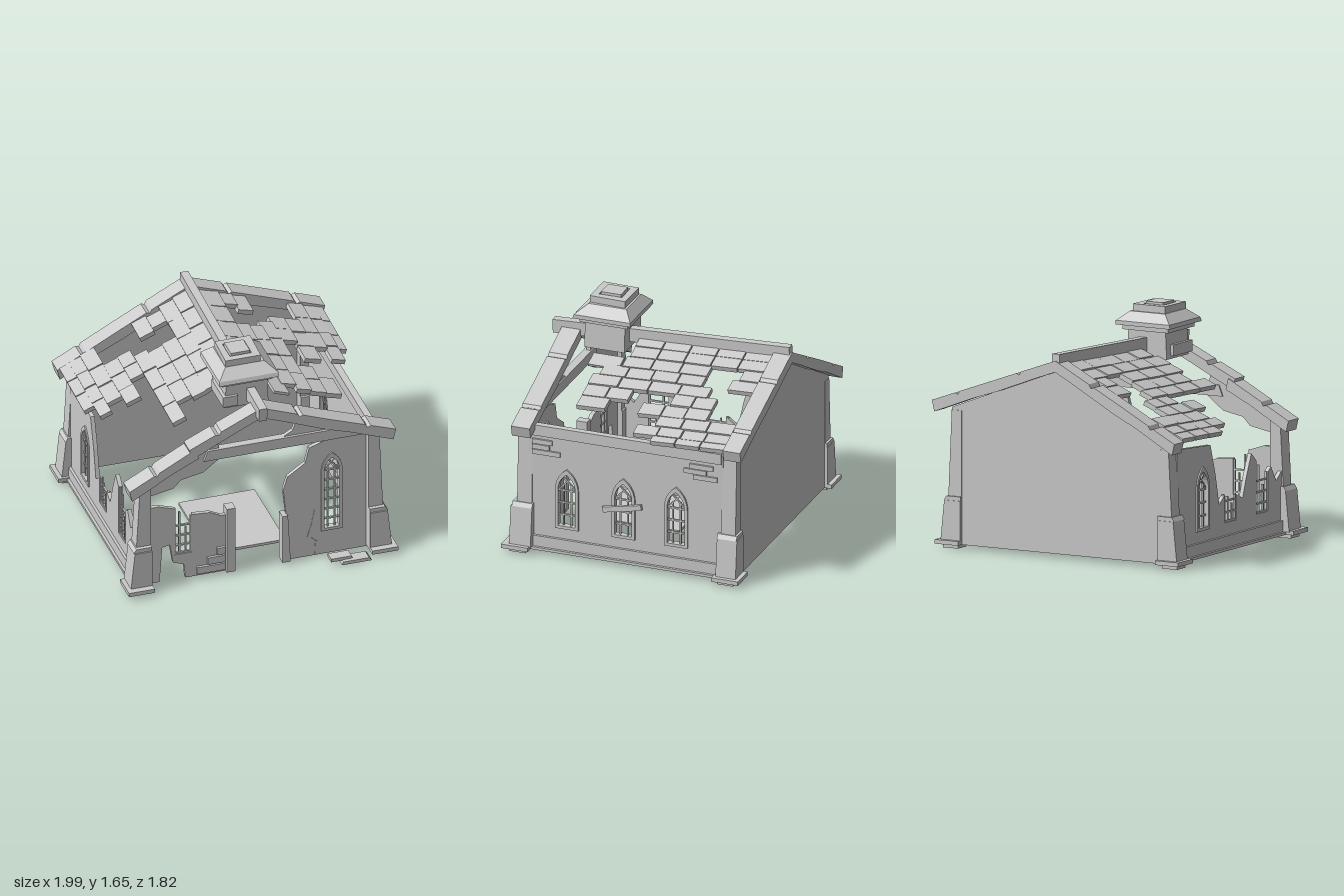
import * as THREE from 'three';

const mat = new THREE.MeshStandardMaterial({ color: 0xcccccc, flatShading: true, side: THREE.DoubleSide });

// Small seeded generator for hand-laid unevenness
let seed = 7;
const rnd = () => ((seed = (seed * 16807) % 2147483647) / 2147483647) - 0.5;

function add(parent, name, geo) {
  const m = new THREE.Mesh(geo, mat);
  m.name = name;
  parent.add(m);
  return m;
}

// Box given by its limits; top corners may be moved by [x0, x1, z0, z1]
function block(parent, name, [x0, x1], [y0, y1], [z0, z1], top = [0, 0, 0, 0]) {
  const cx = (x0 + x1) / 2, cy = (y0 + y1) / 2, cz = (z0 + z1) / 2;
  const g = new THREE.BoxGeometry(x1 - x0, y1 - y0, z1 - z0);
  const p = g.attributes.position;
  for (let i = 0; i < p.count; i++) {
    if (p.getY(i) < 0) continue;
    p.setX(i, p.getX(i) + (p.getX(i) < 0 ? top[0] : top[1]));
    p.setZ(i, p.getZ(i) + (p.getZ(i) < 0 ? top[2] : top[3]));
  }
  g.computeVertexNormals();
  const m = add(parent, name, g);
  m.position.set(cx, cy, cz);
  return m;
}

const outline = (pts) => new THREE.Shape(pts.map(([x, y]) => new THREE.Vector2(x, y)));

// Flat slab cut from an outline, from z to z + depth
function slab(parent, name, shape, z, depth) {
  const m = add(parent, name, new THREE.ExtrudeGeometry(shape, { depth, bevelEnabled: false, curveSegments: 5 }));
  m.position.z = z;
  return m;
}

// Pointed arch standing on (cx, y)
function arch(cx, y, w, h, Kind = THREE.Shape) {
  const s = new Kind(), r = w / 2, spring = y + h - w * 0.95;
  s.moveTo(cx - r, y);
  s.lineTo(cx + r, y);
  s.lineTo(cx + r, spring);
  s.quadraticCurveTo(cx + r, spring + w * 0.6, cx, y + h);
  s.quadraticCurveTo(cx - r, spring + w * 0.6, cx - r, spring);
  s.closePath();
  return s;
}

function bar(parent, a, b, t, z) {
  const len = Math.hypot(b[0] - a[0], b[1] - a[1]);
  const m = add(parent, 'windowBar', new THREE.BoxGeometry(len, t, 0.015));
  m.position.set((a[0] + b[0]) / 2, (a[1] + b[1]) / 2, z);
  m.rotation.z = Math.atan2(b[1] - a[1], b[0] - a[0]);
}

// Arched window with frame and lattice
function archWindow(parent, cx, y, w, h, z) {
  const g = new THREE.Group();
  g.name = 'archedWindow';
  const frame = arch(cx, y - 0.01, w + 0.015, h + 0.025);
  frame.holes.push(arch(cx, y + 0.012, w - 0.03, h - 0.035, THREE.Path));
  slab(g, 'windowFrame', frame, z - 0.025, 0.05);
  const spring = y + h - w * 0.95, q = w * 0.18, r = w / 2 - 0.01;
  for (const s of [-1, 1]) {
    bar(g, [cx + s * q, y], [cx + s * q, spring + w * 0.3], 0.01, z);
    bar(g, [cx + s * r, spring], [cx - s * q, spring + w * 0.62], 0.01, z);
  }
  const n = Math.round((spring - y) / 0.085);
  for (let i = 1; i <= n; i++) {
    const yy = y + ((spring - y) * i) / n;
    bar(g, [cx - r, yy], [cx + r, yy], 0.012, z);
  }
  parent.add(g);
}

// Broken window: jambs of unequal height, sill and leftover bars
function brokenWindow(parent, cx, y, w, hl, hr, z) {
  const g = new THREE.Group();
  g.name = 'brokenWindow';
  bar(g, [cx - w / 2, y], [cx - w / 2, y + hl], 0.022, z);
  bar(g, [cx + w / 2, y], [cx + w / 2, y + hr], 0.022, z);
  bar(g, [cx - w / 2, y], [cx + w / 2, y], 0.025, z);
  bar(g, [cx - w * 0.18, y], [cx - w * 0.18, y + hl * 0.9], 0.012, z);
  bar(g, [cx + w * 0.18, y], [cx + w * 0.18, y + hr * 0.7], 0.012, z);
  for (let yy = 0.07; yy < Math.min(hl, hr); yy += 0.08) bar(g, [cx - w / 2, y + yy], [cx + w / 2, y + yy], 0.012, z);
  parent.add(g);
}

// Gable beam following top points, with small chips along the edges
function rafter(parent, name, pts, h, z, depth) {
  const top = [], bottom = [];
  pts.forEach(([x, y], i) => {
    top.push([x, y]);
    bottom.unshift([x - Math.sign(x) * 0.02, y - h]);
    if (i === pts.length - 1) return;
    const [x2, y2] = pts[i + 1];
    const at = (t, d) => [x + (x2 - x) * t, y + (y2 - y) * t - d];
    top.push(at(0.55, 0), at(0.58, 0.02), at(0.63, 0));
    bottom.unshift(at(0.3, h), at(0.34, h - 0.015), at(0.38, h));
  });
  return slab(parent, name, outline([...top, ...bottom]), z, depth);
}

// Tile columns: [inner x, outer x, runs of [back z, front z]]
const tilesRight = [
  [0.02, 0.1, [[-0.78, 0.23]]], [0.1, 0.2, [[-0.78, 0.23]]],
  [0.2, 0.3, [[-0.78, -0.63], [-0.39, 0.25]]], [0.3, 0.4, [[-0.78, -0.58], [-0.39, 0.38]]],
  [0.4, 0.5, [[-0.47, 0.43]]], [0.5, 0.61, [[-0.55, -0.23], [0.08, 0.43]]],
  [0.61, 0.72, [[-0.55, -0.03], [0.21, 0.43]]], [0.72, 0.82, [[-0.78, -0.2]]],
  [0.82, 0.91, [[-0.78, -0.07]]], [0.91, 0.97, [[-0.78, -0.22]]],
];
const tilesLeft = [
  [0.02, 0.12, [[-0.78, 0.23]]], [0.12, 0.22, [[-0.78, 0.3]]],
  [0.22, 0.32, [[-0.75, -0.6], [-0.4, 0.3]]], [0.32, 0.42, [[-0.78, -0.58], [-0.4, 0.25]]],
  [0.42, 0.51, [[-0.45, 0.43]]], [0.51, 0.6, [[-0.55, -0.24]]],
  [0.6, 0.7, [[-0.55, -0.03]]], [0.7, 0.8, [[-0.78, -0.15]]],
  [0.8, 0.88, [[-0.78, -0.07]]], [0.88, 0.95, [[-0.78, -0.22]]],
];
function roofTiles(parent, name, columns, side, slope) {
  const g = new THREE.Group();
  g.name = name;
  for (const [a, b, runs] of columns) for (const [z0, z1] of runs) {
    const n = Math.max(1, Math.round((z1 - z0) / 0.2)), len = (z1 - z0) / n;
    for (let i = 0; i < n; i++) {
      const x = (a + b) / 2, z = z0 + len * (i + 0.5);
      const t = add(g, 'roofTile', new THREE.BoxGeometry((b - a) * 1.14, 0.035, len - 0.008));
      t.position.set(side * x, 1.345 - slope * x - 0.04 * z + rnd() * 0.008, z);
      t.rotation.set(0.04 + rnd() * 0.02, 0, -side * (Math.atan(slope) - 0.08 + rnd() * 0.03));
    }
  }
  parent.add(g);
}

export function createModel() {
  const root = new THREE.Group();
  root.name = 'ruinedChapel';

  // Corner pillars with heavy feet and plinths
  for (const s of [-1, 1]) for (const f of [-1, 1]) {
    const X = (a, b) => (s > 0 ? [a, b] : [-b, -a]);
    const Z = (a, b) => (f > 0 ? [a, b] : [-b, -a]);
    const inset = s > 0 ? [0, -0.03, 0, 0] : [0.03, 0, 0, 0];
    block(root, 'cornerPillar', X(0.8, 0.91), [0.3, s > 0 ? 0.98 : 0.84], f > 0 ? [0.69, 0.8] : [-0.84, -0.73], inset);
    block(root, 'pillarFoot', X(0.8, 0.96), [0.05, 0.34], f > 0 ? [0.68, 0.84] : [-0.86, -0.71], inset);
    block(root, 'pillarFootCap', X(0.8, 0.935), [0.34, 0.37], f > 0 ? [0.68, 0.83] : [-0.855, -0.71], s > 0 ? [0, -0.02, 0, 0] : [0.02, 0, 0, 0]);
    block(root, 'plinth', X(0.8, 0.99), [0.03, 0.06], Z(0.69, 0.89));
    block(root, 'plinthBase', X(0.83, 0.95), [0, 0.03], Z(0.72, 0.84));
  }

  // Back gable wall
  slab(root, 'backWall', outline([[-0.88, 0.03], [0.88, 0.03], [0.88, 1.0], [0, 1.34], [-0.88, 0.86]]), -0.835, 0.035);

  // Side walls are drawn flat, then turned so their length runs along z
  const rightSide = new THREE.Group();
  rightSide.name = 'rightSide';
  rightSide.rotation.y = -Math.PI / 2;
  rightSide.position.x = 0.89;
  const rw = outline([[-0.74, 0.03], [0.72, 0.03], [0.72, 0.95], [-0.74, 0.95]]);
  for (const u of [0.43, 0.005, -0.39]) {
    rw.holes.push(arch(u, 0.22, 0.16, 0.43, THREE.Path));
    archWindow(rightSide, u, 0.22, 0.16, 0.43, 0.01);
  }
  slab(rightSide, 'rightWall', rw, 0, 0.03);
  root.add(rightSide);
  block(root, 'wallPlate', [0.85, 0.9], [0.89, 0.97], [-0.73, 0.69]);
  block(root, 'wallFooting', [0.85, 0.91], [0.05, 0.13], [-0.71, 0.69]);
  for (const s of [-1, 1]) block(root, 'sideSill', s > 0 ? [0.85, 0.93] : [-0.93, -0.85], [0.03, 0.05], [-0.74, 0.72]);
  for (const [z0, z1, y] of [[0.54, 0.69, 0.83], [0.56, 0.69, 0.79], [0.48, 0.69, 0.75], [-0.67, -0.49, 0.83], [-0.62, -0.45, 0.79], [-0.7, -0.52, 0.75]])
    block(root, 'exposedBrick', [0.88, 0.905], [y, y + 0.035], [z0, z1]);
  block(root, 'loosePlank', [0.9, 0.925], [0.425, 0.465], [-0.14, 0.155]).rotation.x = 0.2;

  const leftSide = new THREE.Group();
  leftSide.name = 'leftSide';
  leftSide.rotation.y = -Math.PI / 2;
  leftSide.position.x = -0.86;
  const lw = outline([[-0.74, 0.03], [0.72, 0.03], [0.72, 0.5], [0.62, 0.42], [0.55, 0.53], [0.51, 0.5], [0.51, 0.22], [0.35, 0.22],
    [0.35, 0.6], [0.28, 0.66], [0.21, 0.5], [0.16, 0.36], [0.08, 0.4], [0.08, 0.22], [-0.08, 0.22], [-0.08, 0.42],
    [-0.16, 0.36], [-0.21, 0.58], [-0.28, 0.8], [-0.74, 0.83]]);
  lw.holes.push(arch(-0.39, 0.22, 0.16, 0.43, THREE.Path));
  slab(leftSide, 'brokenLeftWall', lw, 0, 0.03);
  archWindow(leftSide, -0.39, 0.22, 0.16, 0.43, 0.015);
  brokenWindow(leftSide, 0, 0.22, 0.16, 0.2, 0.18, 0.015);
  brokenWindow(leftSide, 0.43, 0.22, 0.16, 0.38, 0.28, 0.015);
  root.add(leftSide);
  block(root, 'wallFooting', [-0.91, -0.85], [0.05, 0.13], [-0.71, 0.69]);

  // Front wall, right of the doorway, with its gable remnant
  const fr = outline([[0.21, 0.02], [0.85, 0.02], [0.85, 1.0], [0.3, 1.2], [0.26, 1.08], [0.19, 1.04], [0.53, 0.96], [0.38, 0.91],
    [0.35, 0.79], [0.22, 0.7], [0.19, 0.6], [0.21, 0.4]]);
  fr.holes.push(arch(0.545, 0.22, 0.14, 0.61, THREE.Path));
  slab(root, 'frontWallRight', fr, 0.72, 0.03);
  archWindow(root, 0.545, 0.22, 0.14, 0.61, 0.735);
  slab(root, 'wallCrack', outline([[0.42, 0.02], [0.44, 0.13], [0.38, 0.18], [0.42, 0.4], [0.395, 0.28], [0.365, 0.18], [0.425, 0.12]]), 0.75, 0.004);

  // Front wall, left of the doorway, and the piece hanging under the rafter
  slab(root, 'frontWallLeft', outline([[-0.82, 0.02], [-0.72, 0.02], [-0.7, 0.3], [-0.645, 0.31], [-0.62, 0.16], [-0.54, 0.13], [-0.53, 0.02],
    [-0.2, 0.02], [-0.2, 0.48], [-0.27, 0.48], [-0.35, 0.52], [-0.48, 0.53], [-0.48, 0.22], [-0.61, 0.22], [-0.61, 0.6], [-0.73, 0.64], [-0.82, 0.64]]), 0.72, 0.03);
  brokenWindow(root, -0.547, 0.22, 0.13, 0.38, 0.3, 0.735);
  slab(root, 'hangingWallPiece', outline([[-0.86, 0.74], [-0.78, 0.74], [-0.62, 0.77], [-0.56, 0.83], [-0.4, 0.86], [-0.27, 0.96],
    [-0.3, 1.13], [-0.86, 0.84]]), 0.72, 0.03);
  [[-0.45, 0.04], [-0.37, 0.105], [-0.3, 0.17]].forEach(([x, y]) => block(root, 'exposedBrick', [x, -0.24], [y, y + 0.055], [0.74, 0.77]));

  // Doorway posts, floor slab and tie beam
  block(root, 'doorPost', [-0.235, -0.17], [0.02, 0.54], [0.7, 0.78]);
  block(root, 'doorPost', [0.175, 0.235], [0.02, 0.4], [0.7, 0.78], [0, -0.02, 0, 0]);
  block(root, 'floorSlab', [-0.28, 0.28], [0.02, 0.04], [-0.17, 0.52]);
  block(root, 'tieBeam', [-0.4, 0.87], [0.96, 1.04], [0.71, 0.77], [0.03, -0.08, 0, 0]);

  // Gable beams and the ridge beam
  rafter(root, 'frontRafter', [[0, 1.35], [0.5, 1.16], [1.0, 0.98]], 0.08, 0.67, 0.14);
  rafter(root, 'frontRafter', [[0, 1.34], [-0.52, 1.1]], 0.08, 0.68, 0.13);
  rafter(root, 'frontRafter', [[-0.47, 1.1], [-0.96, 0.84]], 0.08, 0.67, 0.14);
  rafter(root, 'backRafter', [[0, 1.41], [0.5, 1.23], [1.0, 1.05]], 0.08, -0.91, 0.13);
  rafter(root, 'backRafter', [[0, 1.41], [-0.5, 1.15], [-0.97, 0.9]], 0.08, -0.91, 0.13);
  const ridge = block(root, 'ridgeBeam', [-0.03, 0.03], [1.32, 1.42], [-0.9, 0.88]);
  ridge.rotation.x = 0.042;

  // Roof tiles, steeper on the sagging left slope
  roofTiles(root, 'roofTilesRight', tilesRight, 1, 0.36);
  roofTiles(root, 'roofTilesLeft', tilesLeft, -1, 0.5);
  block(root, 'loosePanel', [0.2, 0.32], [1.225, 1.245], [0.27, 0.5]).rotation.z = -0.34;

  // Chimney with a flared cap and hollow top
  const ch = new THREE.Group();
  ch.name = 'chimney';
  block(ch, 'chimneyShaft', [-0.19, 0.13], [1.26, 1.48], [0.3, 0.6], [0.01, -0.01, 0, 0]);
  block(ch, 'chimneyFootBlock', [-0.21, -0.1], [1.28, 1.36], [0.36, 0.62]);
  block(ch, 'chimneyCollar', [-0.22, 0.15], [1.455, 1.5], [0.27, 0.63]);
  block(ch, 'chimneyCapRim', [-0.255, 0.185], [1.49, 1.52], [0.235, 0.67], [0.005, 0, 0, -0.01]);
  block(ch, 'chimneyCap', [-0.25, 0.185], [1.52, 1.585], [0.235, 0.66], [0.07, -0.08, 0.06, -0.08]);
  const rim = outline([[-0.18, -0.58], [0.08, -0.58], [0.09, -0.31], [-0.17, -0.31]]);
  rim.holes.push(new THREE.Path([[-0.13, -0.53], [-0.13, -0.36], [0.03, -0.36], [0.03, -0.53]].map(([x, y]) => new THREE.Vector2(x, y))));
  const top = slab(ch, 'chimneyTop', rim, 0, 0.055);
  top.rotation.x = -Math.PI / 2;
  top.position.y = 1.58;
  block(ch, 'chimneyInner', [-0.12, 0.02], [1.58, 1.65], [0.37, 0.52]);
  root.add(ch);

  // Fallen stones on the ground
  block(root, 'rubble', [0.57, 0.79], [0, 0.025], [0.8, 0.91], [0.01, -0.02, 0.02, 0]);
  block(root, 'rubble', [0.5, 0.66], [0.02, 0.045], [0.8, 0.88], [0, -0.01, 0, 0]);
  block(root, 'rubble', [0.67, 0.78], [0, 0.03], [0.55, 0.65], [0.02, 0, 0.01, -0.01]);
  return root;
}
